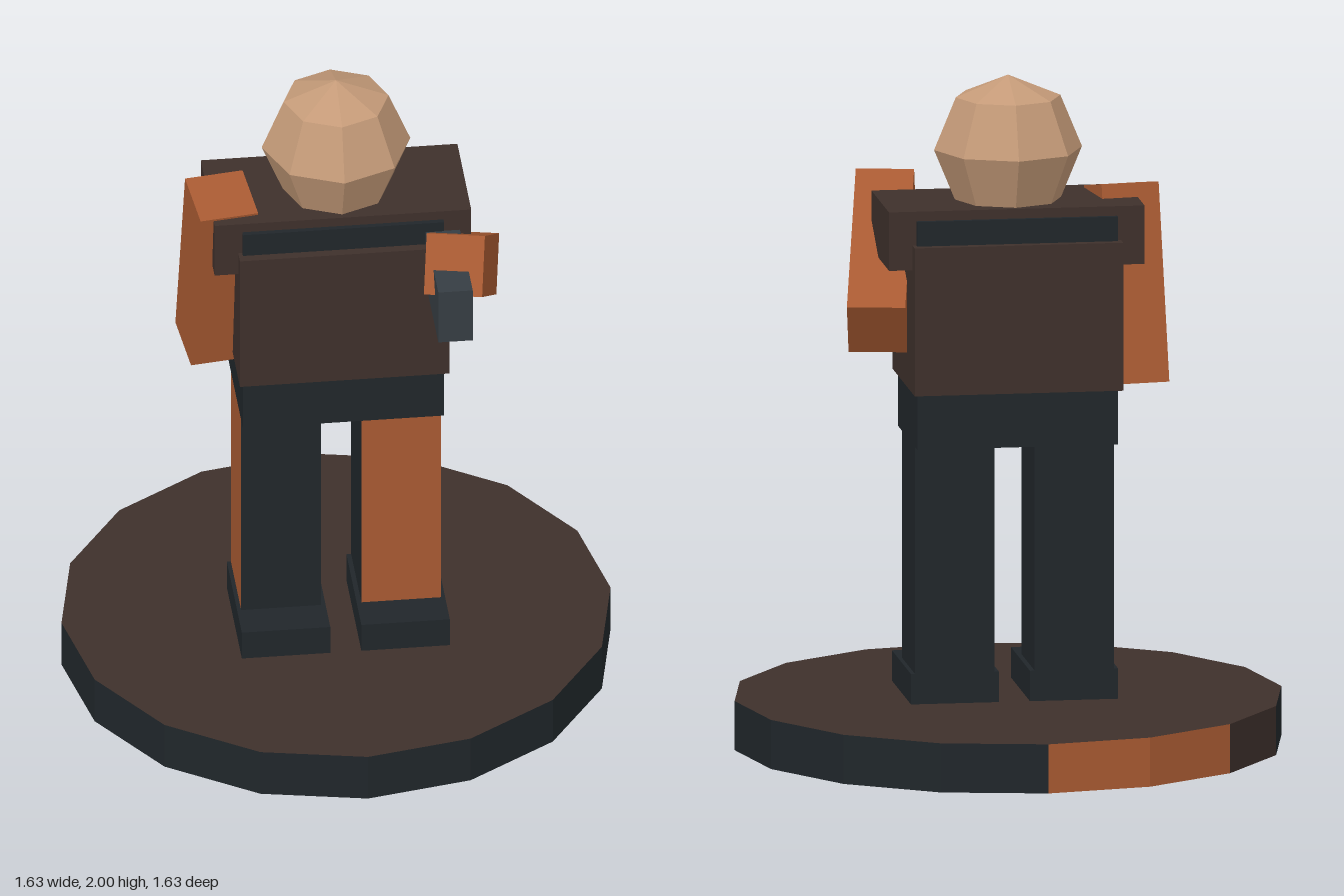
import * as THREE from 'three';

const mat = (color) => new THREE.MeshStandardMaterial({ color, flatShading: true });

export function createModel() {
  const group = new THREE.Group();
  const dark = mat(0x20262a), brown = mat(0x3e302b), orange = mat(0xa85a32);
  const skin = mat(0xc49a78), metal = mat(0x363d43);

  // Box part; faces overrides single sides, order +x -x +y -y +z -z
  function box(name, size, pos, material, faces) {
    let m = material;
    if (faces) {
      m = Array(6).fill(material);
      for (const i in faces) m[i] = faces[i];
    }
    const mesh = new THREE.Mesh(new THREE.BoxGeometry(...size), m);
    mesh.name = name;
    mesh.position.set(...pos);
    group.add(mesh);
    return mesh;
  }

  // Round base: dark rim with a few tinted segments, brown caps
  const sides = 16;
  const disc = new THREE.CylinderGeometry(0.813, 0.813, 0.147, sides);
  disc.clearGroups();
  for (let i = 0; i < sides; i++) {
    disc.addGroup(i * 6, 6, i === 8 || i === 9 ? 2 : i === 10 ? 1 : 0);
  }
  disc.addGroup(sides * 6, sides * 6, 1);
  const base = new THREE.Mesh(disc, [dark, brown, orange]);
  base.name = 'base';
  base.position.y = 0.0735;
  group.add(base);

  // Legs and shoes
  for (const s of [-1, 1]) {
    const side = s > 0 ? 'left' : 'right';
    box(side + 'Leg', [0.236, 0.78, 0.26], [s * 0.178, 0.53, 0], dark, s > 0 ? { 4: orange } : { 1: orange });
    box(side + 'Shoe', [0.262, 0.092, 0.38], [s * 0.177, 0.192, 0.06], dark);
  }

  // Body, vest and shoulder yoke
  box('body', [0.596, 0.682, 0.384], [0, 1.261, 0], dark, { 3: orange });
  box('vest', [0.62, 0.443, 0.44], [0, 1.3075, 0], brown);
  box('shoulders', [0.76, 0.175, 0.352], [0, 1.543, 0], brown);

  // Head
  const head = new THREE.Mesh(new THREE.SphereGeometry(0.22, 8, 4), skin);
  head.name = 'head';
  head.position.y = 1.78;
  group.add(head);

  // Arms: left one raised forward, right one hanging
  const leftArm = box('leftArm', [0.172, 0.18, 0.595], [0.354, 1.425, 0.152], orange);
  leftArm.rotation.set(-0.57, -0.2, 0, 'YXZ');
  const rightArm = box('rightArm', [0.175, 0.59, 0.185], [-0.353, 1.365, 0], orange);
  rightArm.rotation.set(0.19, 0.14, 0, 'YXZ');

  // Block held in the left hand
  box('heldBlock', [0.102, 0.176, 0.325], [0.294, 1.483, 0.3525], metal);

  return group;
}
